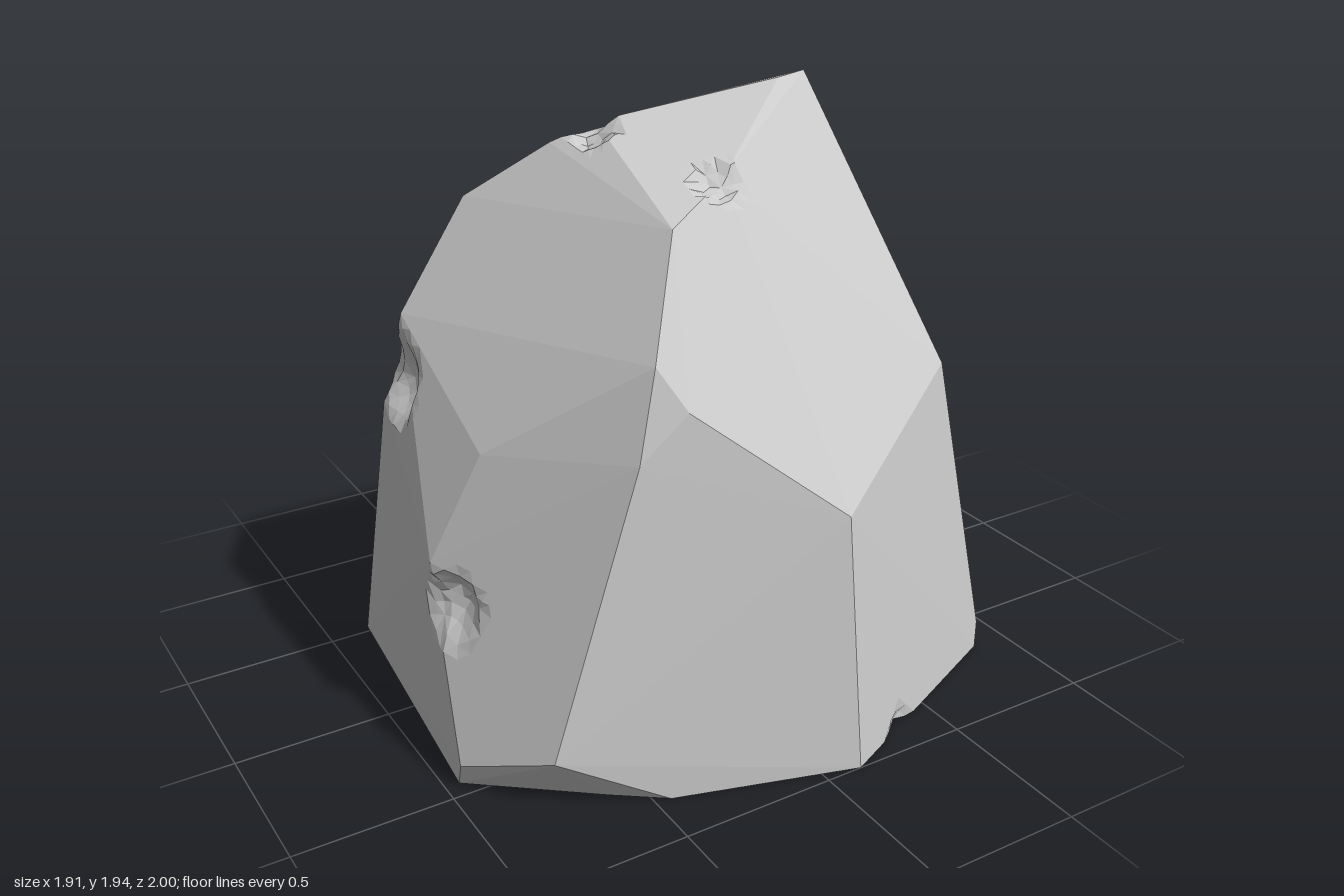
import * as THREE from 'three';
import { ConvexGeometry } from 'three/addons/geometries/ConvexGeometry.js';

// Corners of the cut boulder, listed by zone
const CORNERS = [
  // summit ridge
  [0.43, 1.94, 0.16], [0.33, 1.93, 0.17], [-0.22, 1.83, 0.01], [-0.33, 1.76, -0.08],
  [-0.03, 1.73, 0.42], [-0.25, 1.63, 0.5], [-0.54, 1.58, -0.26],
  // shoulders
  [0.59, 1.39, -0.29], [-0.5, 1.31, -0.48], [-0.78, 1.25, -0.23], [-0.42, 1.32, 0.69],
  [-0.36, 1.2, 0.77], [-0.5, 1.06, 0.74], [0.63, 1.1, 0.66], [0.08, 0.84, 0.94],
  [-0.17, 0.81, -0.87], [-0.82, 0.93, -0.32], [-0.77, 0.98, 0.29], [-0.92, 0.64, 0.23],
  // skirt
  [-0.19, 0.29, -1], [-0.78, 0.18, 0.73], [-0.96, 0.08, 0.47], [0.89, 0.08, 0.64],
  // foot
  [0.955, 0, -0.41], [0.92, 0, 0.5], [0.87, 0, 0.66], [0.12, 0, 1], [-0.45, 0, 0.83],
  [-0.6, 0, 0.72], [-0.955, 0, 0.44], [-0.86, 0, -0.53], [-0.31, 0, -0.97], [-0.07, 0, -0.98],
].map((p) => new THREE.Vector3(...p));

// Small dents: centre, radius, depth
const CHIPS = [
  [[-0.84, 1.05, -0.2], 0.15, 0.07],
  [[-0.92, 0.52, 0.32], 0.12, 0.06],
  [[-0.24, 1.82, 0.02], 0.08, 0.04],
  [[-0.05, 1.73, 0.42], 0.08, 0.04],
  [[-0.12, 0.03, -0.98], 0.11, 0.05],
  [[0.36, 0, 0.91], 0.07, 0.03],
].map(([c, radius, depth]) => ({ center: new THREE.Vector3(...c), radius, depth }));

const CORE = new THREE.Vector3(0, 0.75, 0);
const MAX_EDGE = 0.06;

// Push a point towards the core where a chip covers it
function dent(point) {
  const result = point.clone();
  for (const { center, radius, depth } of CHIPS) {
    const t = 1 - point.distanceTo(center) / radius;
    if (t > 0) {
      const inward = CORE.clone().sub(center).normalize();
      result.addScaledVector(inward, depth * Math.min(1, t * 1.6));
    }
  }
  result.y = Math.max(0, result.y);
  return result;
}

// Halve the longest edge until every triangle is small enough to dent
function split(a, b, c, out) {
  const ab = a.distanceTo(b), bc = b.distanceTo(c), ca = c.distanceTo(a);
  const longest = Math.max(ab, bc, ca);
  if (longest < MAX_EDGE) {
    out.push(dent(a), dent(b), dent(c));
  } else if (longest === ab) {
    const m = a.clone().add(b).multiplyScalar(0.5);
    split(a, m, c, out);
    split(m, b, c, out);
  } else if (longest === bc) {
    split(b, c, a, out);
  } else {
    split(c, a, b, out);
  }
}

export function createModel() {
  const hull = new ConvexGeometry(CORNERS).getAttribute('position');
  const points = [];
  const corner = (i) => new THREE.Vector3().fromBufferAttribute(hull, i);
  for (let i = 0; i < hull.count; i += 3) split(corner(i), corner(i + 1), corner(i + 2), points);

  const geometry = new THREE.BufferGeometry().setFromPoints(points);
  geometry.computeVertexNormals();

  const boulder = new THREE.Mesh(
    geometry,
    new THREE.MeshStandardMaterial({ color: 0xcccccc, flatShading: true }),
  );
  boulder.name = 'boulder';

  const group = new THREE.Group();
  group.name = 'rock';
  group.add(boulder);
  return group;
}
